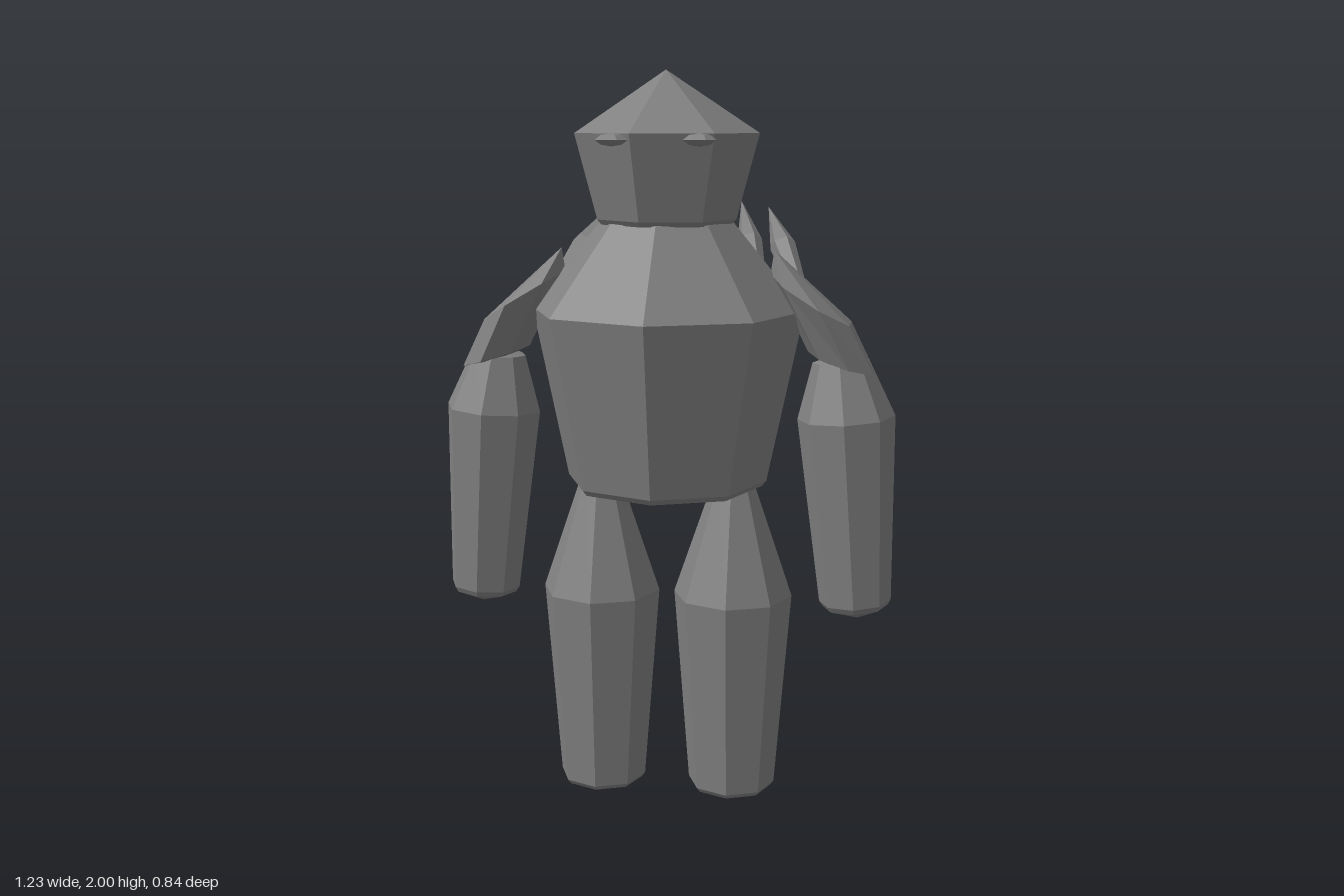
import * as THREE from 'three';

const stone = new THREE.MeshStandardMaterial({ color: 0x808080 });
stone.name = 'grey stone';

// Faceted solid through rings listed from bottom to top: [x, y, z, radius, tilt about z].
// A corner of each ring points along the phase angle (0 = +x, PI/2 = +z).
function loft(rings, sides, phase = 0) {
  const corner = ([x, y, z, r, tilt = 0], i) => {
    const a = phase + (i / sides) * Math.PI * 2;
    const u = Math.cos(a) * r;
    return [x + u * Math.cos(tilt), y + u * Math.sin(tilt), z + Math.sin(a) * r];
  };
  const pos = [];
  for (let k = 0; k < rings.length - 1; k++) {
    const lo = rings[k], hi = rings[k + 1];
    for (let i = 0; i < sides; i++) {
      const a = corner(lo, i), b = corner(lo, i + 1);
      const c = corner(hi, i + 1), d = corner(hi, i);
      if (lo[3] > 0) pos.push(...a, ...c, ...b);
      if (hi[3] > 0) pos.push(...a, ...d, ...c);
    }
  }
  const geo = new THREE.BufferGeometry();
  geo.setAttribute('position', new THREE.Float32BufferAttribute(pos, 3));
  geo.computeVertexNormals();
  return geo;
}

// Rings sharing one vertical axis, from [radius, y] pairs
const upright = (x, z, profile) => profile.map(([r, y]) => [x, y, z, r]);

export function createModel() {
  const model = new THREE.Group();
  model.name = 'stoneGolem';
  const add = (name, geo) => {
    const mesh = new THREE.Mesh(geo, stone);
    mesh.name = name;
    model.add(mesh);
    return mesh;
  };

  // Eight-sided torso and seven-sided pointed head
  add('torso', loft(upright(0, 0.05, [
    [0, 0.875], [0.26, 0.905], [0.272, 0.92], [0.367, 1.38], [0.178, 1.61], [0, 1.63],
  ]), 8));
  add('head', loft(upright(0, 0.06, [
    [0, 1.605], [0.175, 1.607], [0.186, 1.62], [0.245, 1.84], [0, 2],
  ]), 7));

  // Eyes: small flattened gems
  for (const [name, x] of [['rightEye', -0.1], ['leftEye', 0.12]]) {
    const eye = add(name, loft(upright(0, 0, [
      [0, -0.016], [0.026, -0.012], [0.042, 0], [0.026, 0.012], [0, 0.016],
    ]), 6));
    eye.position.set(x, 1.825, 0.29);
  }

  // Plate sunk into the back
  add('backPlate', new THREE.BoxGeometry(0.26, 0.27, 0.05)).position.set(0, 1.235, -0.25);

  // Limbs, mirrored by sign
  for (const [side, s] of [['left', 1], ['right', -1]]) {
    const phase = s > 0 ? 0 : Math.PI;

    add(side + 'Leg', loft(upright(s * 0.183, 0.048, [
      [0, 0], [0.11, 0.042], [0.12, 0.055], [0.162, 0.6], [0.05, 0.93], [0, 0.95],
    ]), 8));

    add(side + 'Shoulder', loft([
      [s * 0.475, 1.225, 0.045, 0],
      [s * 0.47, 1.245, 0.045, 0.097, -s * 0.3],
      [s * 0.387, 1.41, 0.045, 0.13, -s * 0.54],
      [s * 0.285, 1.54, 0.045, 0],
    ], 7, Math.PI - phase));

    add(side + 'Forearm', loft([
      [s * 0.525, 0.545, 0.045, 0],
      [s * 0.518, 0.58, 0.045, 0.088, s * 0.07],
      [s * 0.517, 0.595, 0.045, 0.097, s * 0.07],
      [s * 0.482, 1.1, 0.045, 0.13, s * 0.07],
      [s * 0.465, 1.25, 0.045, 0.075, s * 0.07],
      [s * 0.463, 1.27, 0.045, 0],
    ], 8, phase));
  }

  // Fan of spikes on the upper back: [base x, base z, tip x, tip z], on one sloping plane
  const slope = (z) => 1.43 + (-0.13 - z) * 0.86;
  const up = new THREE.Vector3(0, 1, 0);
  const spike = (bx, bz, tx, tz) => {
    const base = new THREE.Vector3(bx, slope(bz), bz);
    const dir = new THREE.Vector3(tx, slope(tz), tz).sub(base);
    const len = dir.length();
    const mesh = add('backSpike', loft(upright(0, 0, [
      [0, 0], [0.025, 0.015], [0.036, len * 0.5], [0, len],
    ]), 6));
    mesh.position.copy(base);
    mesh.quaternion.setFromUnitVectors(up, dir.normalize());
  };
  spike(0, -0.17, 0, -0.42);
  for (const s of [-1, 1]) {
    spike(s * 0.105, -0.155, s * 0.07, -0.4);
    spike(s * 0.225, -0.13, s * 0.15, -0.38);
    spike(s * 0.335, -0.125, s * 0.23, -0.362);
  }

  return model;
}
